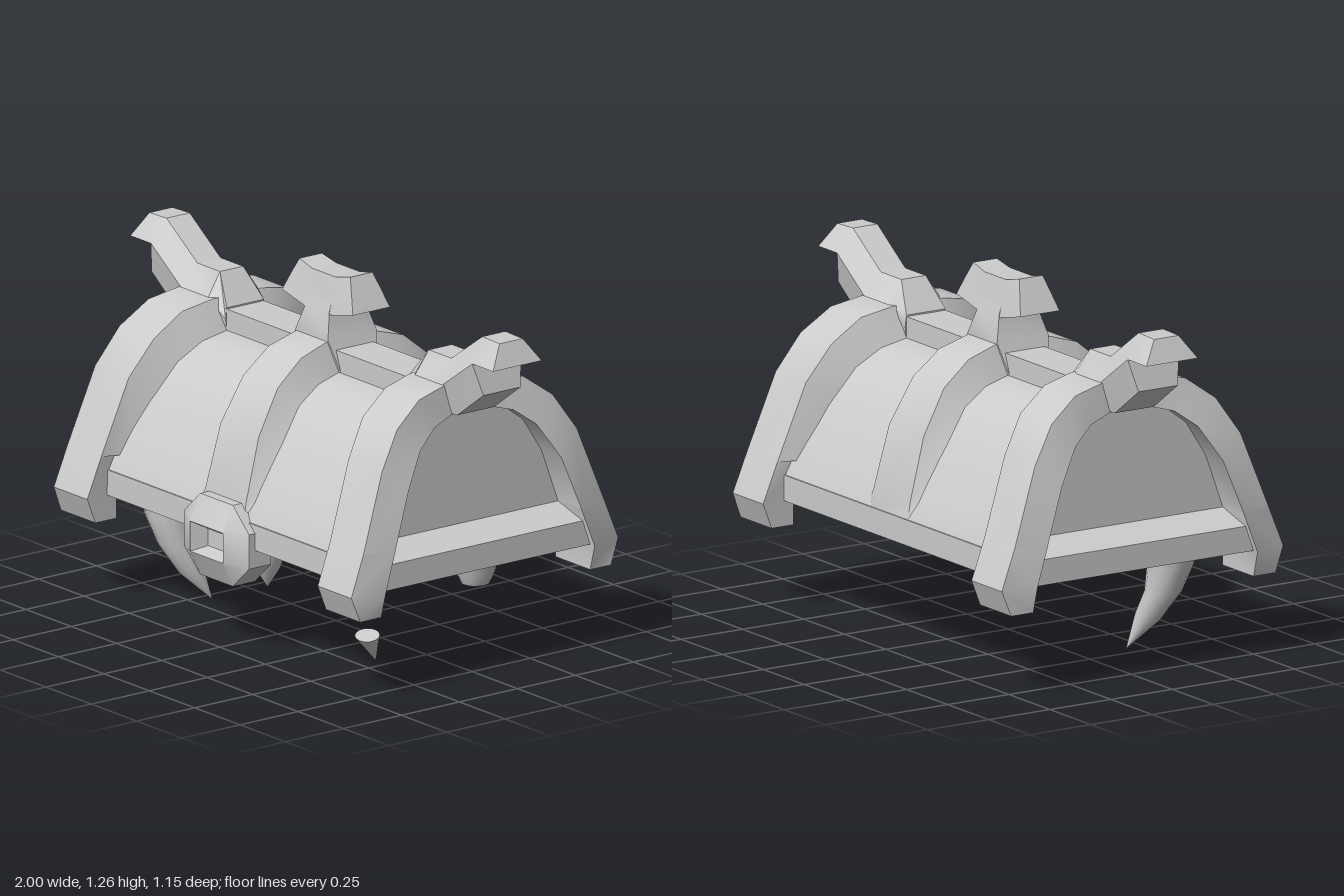
import * as THREE from 'three';
import { toCreasedNormals } from 'three/addons/utils/BufferGeometryUtils.js';

const material = new THREE.MeshStandardMaterial({ color: 0xcccccc });

// Skin a solid through equal-sized rings of [x, y, z] points, capping both ends.
function loft(name, rings) {
  const n = rings[0].length;
  const tris = [];
  for (let i = 0; i + 1 < rings.length; i++) {
    const a = rings[i], b = rings[i + 1];
    for (let j = 0; j < n; j++) {
      const k = (j + 1) % n;
      tris.push([a[j], a[k], b[k]], [a[j], b[k], b[j]]);
    }
  }
  const first = rings[0], last = rings[rings.length - 1];
  for (let j = 1; j < n - 1; j++) {
    tris.push([first[0], first[j + 1], first[j]], [last[0], last[j], last[j + 1]]);
  }
  // The signed volume tells whether the faces point outward
  let volume = 0;
  const position = [];
  const v = tris.map((t) => t.map((p) => new THREE.Vector3(...p)));
  for (const [a, b, c] of v) volume += a.dot(b.clone().cross(c));
  for (const [a, b, c] of v) {
    const area = b.clone().sub(a).cross(c.clone().sub(a)).length();
    if (area < 1e-7) continue;
    for (const p of volume > 0 ? [a, b, c] : [a, c, b]) position.push(p.x, p.y, p.z);
  }
  const geometry = new THREE.BufferGeometry();
  geometry.setAttribute('position', new THREE.Float32BufferAttribute(position, 3));
  const mesh = new THREE.Mesh(toCreasedNormals(geometry, 0.6), material);
  mesh.name = name;
  return mesh;
}

// Arched strap: rows are [outer z, y, inner z, y, outer face x0, x1, base x0, x1]
function arch(name, rows, side = 1) {
  const ring = ([zo, yo, zi, yi, xa, xb, xc, xd], d) => [
    [side * xa, yo, d * zo], [side * xb, yo, d * zo],
    [side * xd, yi, d * zi], [side * xc, yi, d * zi],
  ];
  return loft(name, [
    ...rows.map((r) => ring(r, 1)),
    ...[...rows].reverse().map((r) => ring(r, -1)),
  ]);
}

// Crest: stations of three [x, y, half depth] levels, bottom, middle and top
function crest(name, stations, side = 1) {
  return loft(name, stations.map((levels) => [
    ...levels.map(([x, y, z]) => [side * x, y, z]),
    ...[...levels].reverse().map(([x, y, z]) => [side * x, y, -z]),
  ]));
}

// Tooth: round sections [x, y, z, radius, tilt]; a zero radius makes a point
function tooth(name, sections, side = 1) {
  const sides = 14;
  return loft(name, sections.map(([x, y, z, r, tilt = 0]) =>
    Array.from({ length: sides }, (_, i) => {
      const a = (i / sides) * Math.PI * 2;
      const c = Math.cos(a), s = Math.sin(a);
      return [side * (x + r * c), y + tilt * (c - s), z + r * s];
    })));
}

const box = (name, w, h, d, x, y, z) => {
  const mesh = new THREE.Mesh(new THREE.BoxGeometry(w, h, d), material);
  mesh.name = name;
  mesh.position.set(x, y, z);
  return mesh;
};

export function createModel() {
  const model = new THREE.Group();
  model.name = 'chestLid';

  // Flat rim all around the bottom
  model.add(box('rim', 1.65, 0.09, 0.98, 0, 0.435, 0));

  // Rounded shell with recessed ends
  const half = [[0.488, 0.47], [0.485, 0.48], [0.43, 0.585], [0.355, 0.72],
    [0.265, 0.85], [0.175, 0.907], [0.08, 0.93]];
  const profile = [...half, ...half.map(([z, y]) => [-z, y]).reverse()];
  model.add(loft('shell', [-0.71, 0.71].map((x) => profile.map(([z, y]) => [x, y, z]))));

  // Ridge beam
  model.add(box('ridgeBeam', 1.02, 0.1, 0.16, 0, 0.955, 0));

  const sideRows = [
    [0.54, 0.30, 0.45, 0.30, 0.635, 0.825, 0.635, 0.825],
    [0.575, 0.39, 0.45, 0.39, 0.635, 0.82, 0.635, 0.85],
    [0.52, 0.53, 0.40, 0.53, 0.63, 0.815, 0.633, 0.84],
    [0.519, 0.532, 0.40, 0.532, 0.63, 0.815, 0.585, 0.84],
    [0.42, 0.80, 0.33, 0.72, 0.605, 0.79, 0.55, 0.82],
    [0.335, 0.93, 0.25, 0.845, 0.575, 0.765, 0.52, 0.785],
    [0.225, 1.01, 0.17, 0.905, 0.56, 0.745, 0.51, 0.76],
    [0.105, 1.035, 0.08, 0.93, 0.545, 0.73, 0.50, 0.74],
  ];
  const hornStations = [
    [[0.50, 0.93, 0.08], [0.50, 0.97, 0.085], [0.50, 1.01, 0.08]],
    [[0.55, 0.93, 0.08], [0.57, 1.035, 0.105], [0.575, 1.115, 0.05]],
    [[0.77, 0.935, 0.08], [0.72, 1.035, 0.105], [0.70, 1.115, 0.05]],
    [[0.915, 1.04, 0.08], [0.885, 1.15, 0.105], [0.87, 1.233, 0.05]],
    [[0.885, 1.15, 0.105], [0.885, 1.15, 0.105], [0.87, 1.233, 0.05]],
    [[1.0, 1.15, 0.105], [1.0, 1.15, 0.105], [0.965, 1.23, 0.05]],
  ];
  for (const s of [-1, 1]) {
    const label = s > 0 ? 'left' : 'right';
    model.add(arch(label + 'Arch', sideRows, s));
    model.add(crest(label + 'Horn', hornStations, s));
    // Sloping sill under the recessed end panel
    model.add(loft(label + 'Sill', [-1, 1].map((d) => [
      [s * 0.825, 0.47, d * 0.44], [s * 0.825, 0.48, d * 0.44],
      [s * 0.70, 0.53, d * 0.42], [s * 0.70, 0.47, d * 0.44],
    ])));
  }

  // Centre strap, its base lying on the shell
  const strap = [
    [0.485, 0.475, 0.465, 0.475, 0.112, 0.158],
    [0.475, 0.54, 0.43, 0.54, 0.112, 0.156],
    [0.415, 0.76, 0.35, 0.72, 0.105, 0.15],
    [0.325, 0.915, 0.262, 0.847, 0.095, 0.138],
    [0.22, 1.0, 0.172, 0.905, 0.09, 0.128],
    [0.105, 1.035, 0.08, 0.925, 0.085, 0.12],
  ];
  model.add(arch('centreStrap', strap.map(([a, b, c, d, w, v]) => [a, b, c, d, -w, w, -v, v])));

  // Centre crest: stem and spreading top
  const stem = [[0.93, 0.13, 0.08], [1.04, 0.09, 0.105], [1.13, 0.065, 0.08], [1.2, 0.065, 0.06]];
  model.add(loft('crestStem', stem.map(([y, x, z]) => [[x, y, z], [-x, y, z], [-x, y, -z], [x, y, -z]])));
  const wing = [
    [[0.195, 1.15, 0.08], [0.168, 1.21, 0.064], [0.14, 1.267, 0.048]],
    [[0.065, 1.12, 0.08], [0.065, 1.185, 0.066], [0.065, 1.25, 0.052]],
  ];
  const flipped = wing.map((st) => st.map(([x, y, z]) => [-x, y, z])).reverse();
  model.add(crest('crestTop', [...wing, ...flipped]));

  // Octagonal clasp with a sunken slot
  const octagon = (z) => [[0.18, 0.45], [0.09, 0.533], [-0.09, 0.533], [-0.18, 0.45],
    [-0.18, 0.328], [-0.09, 0.245], [0.09, 0.245], [0.18, 0.328]].map(([x, y]) => [x, y, z]);
  const slot = (w, y0, y1, z) => [[w, y1], [w, y1], [-w, y1], [-w, y1],
    [-w, y0], [-w, y0], [w, y0], [w, y0]].map(([x, y]) => [x, y, z]);
  model.add(loft('clasp', [octagon(0.42), octagon(0.515),
    slot(0.09, 0.335, 0.442, 0.558), slot(0.065, 0.35, 0.41, 0.5)]));

  // Teeth: a whole fang, a loose tip, a short fang and a broken stump
  const fangTip = [[-0.486, 0.117, 0.245, 0.043, 0.008], [-0.45, 0.005, 0.18, 0]];
  model.add(tooth('rightFang', [[-0.56, 0.40, 0.295, 0.087], [-0.55, 0.31, 0.295, 0.08],
    [-0.527, 0.21, 0.28, 0.064], ...fangTip]));
  model.add(tooth('leftFangTip', fangTip, -1));
  model.add(tooth('middleFang', [[0, 0.40, 0.295, 0.087], [0, 0.32, 0.295, 0.073],
    [0, 0.25, 0.295, 0.045], [0, 0.18, 0.295, 0]]));
  model.add(tooth('brokenStump', [[0.66, 0.40, -0.085, 0.09], [0.66, 0.31, -0.085, 0.062],
    [0.66, 0.285, -0.085, 0.05]]));
  model.add(box('toothChip', 0.045, 0.05, 0.03, 0.59, 0.37, 0.225));

  return model;
}
